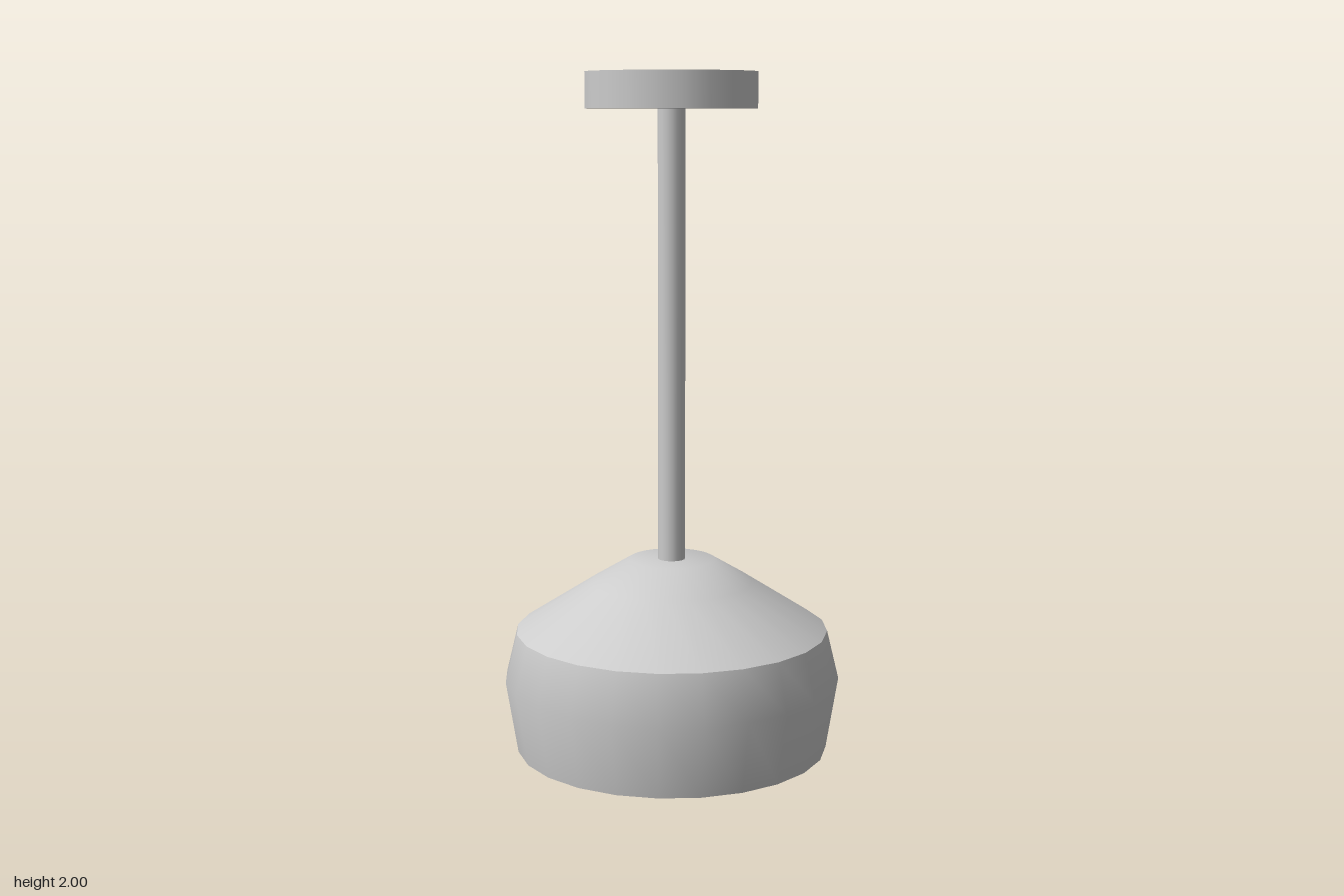
import * as THREE from 'three';

export function createModel() {
  const group = new THREE.Group();
  group.name = 'pendantLamp';
  const grey = new THREE.MeshStandardMaterial({ color: 0xcccccc });
  grey.name = 'light grey';

  const add = (name, geometry, y = 0) => {
    const mesh = new THREE.Mesh(geometry, grey);
    mesh.name = name;
    mesh.position.y = y;
    group.add(mesh);
  };
  // Profiles run from bottom to top so that faces point outward
  const lathe = (points) =>
    new THREE.LatheGeometry(points.map(([r, y]) => new THREE.Vector2(r, y)), 24);

  // Ceiling mount and hanging rod
  add('ceilingMount', new THREE.CylinderGeometry(0.25, 0.25, 0.104, 20), 1.948);
  add('rod', new THREE.CylinderGeometry(0.04, 0.04, 1.34, 16), 1.235);

  // Shade: sloping top, bulging side, flat diffuser below
  add('shadeTop', lathe([[0.465, 0.36], [0.24, 0.505], [0.127, 0.573], [0, 0.573]]));
  add('shadeSide', lathe([[0.465, 0], [0.5, 0.215], [0.465, 0.36]]));
  const diffuser = new THREE.CircleGeometry(0.465, 24);
  diffuser.rotateX(Math.PI / 2);
  add('diffuser', diffuser);

  return group;
}
